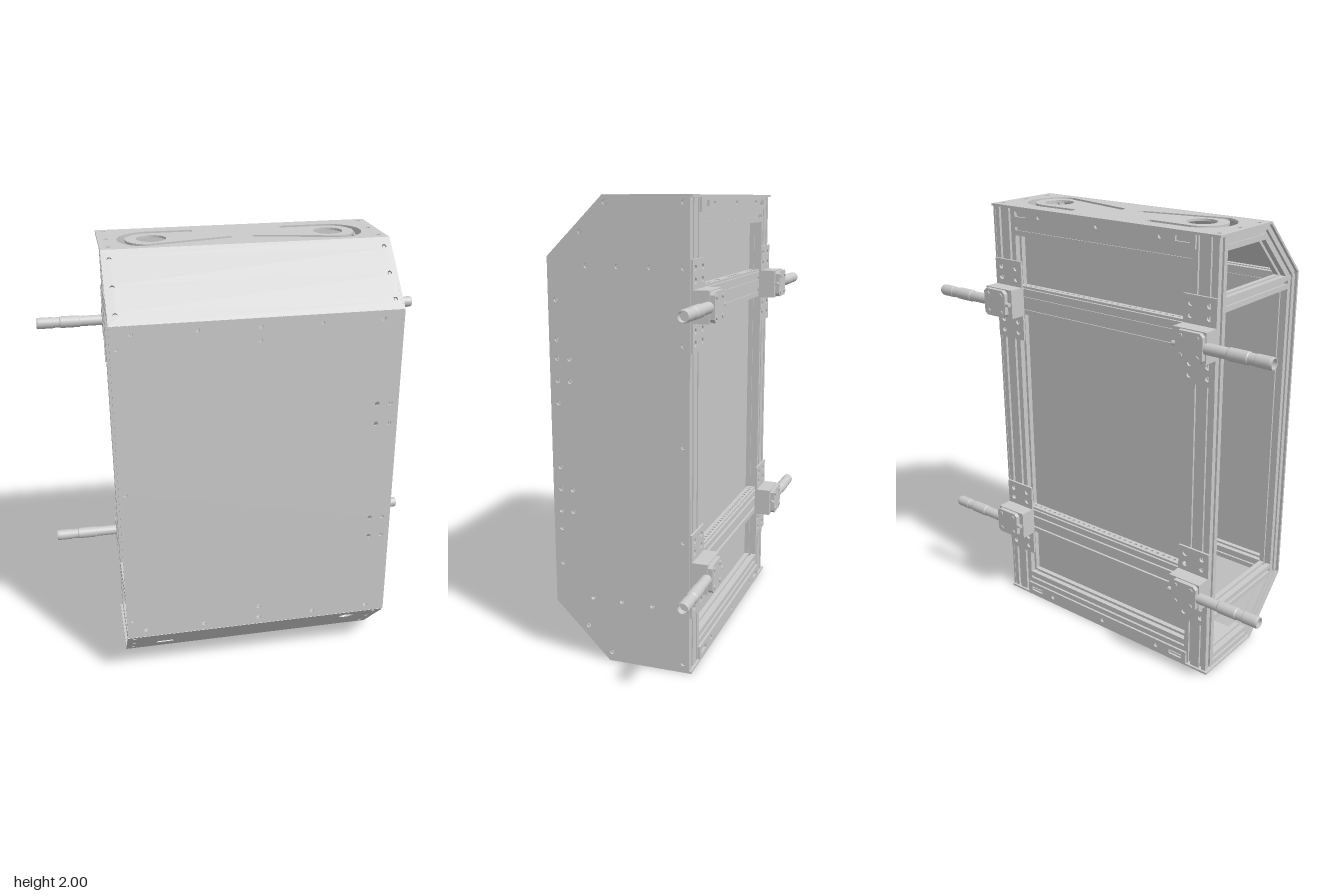
import * as THREE from 'three';

const T = 0.01;   // sheet thickness
const S = 0.06;   // frame profile size
const grey = new THREE.MeshStandardMaterial({ color: 0xcacaca });
grey.name = 'grey metal';

function add(parent, name, geometry, x = 0, y = 0, z = 0) {
  const m = new THREE.Mesh(geometry, grey);
  m.name = name;
  m.position.set(x, y, z);
  parent.add(m);
  return m;
}

const poly = (pts) => pts.map(([x, y]) => new THREE.Vector2(x, y));
const rect = (x0, y0, x1, y1) => [[x0, y0], [x1, y0], [x1, y1], [x0, y1]];
const circle = (x, y, r = 0.01) => new THREE.Path().absarc(x, y, r, 0, Math.PI * 2, true);
const circles = (pts, r) => pts.map(([x, y]) => circle(x, y, r));
const grid = (xs, ys) => xs.flatMap((x) => ys.map((y) => [x, y]));

// Sheet with cut-outs; its outer face lies on local z = 0
function sheet(outline, holes, depth = T) {
  const shape = new THREE.Shape(poly(outline));
  shape.holes.push(...holes);
  const g = new THREE.ExtrudeGeometry(shape, { depth, bevelEnabled: false, curveSegments: 16 });
  return g.translate(0, 0, -depth);
}

// Slotted frame profile of nx by 1 cells
function profile(nx) {
  const w = nx * S / 2, h = S / 2, pts = [];
  const edge = (ax, ay, dx, dy, cells) => {
    const put = (u, d) => pts.push([ax + dx * u - dy * d, ay + dy * u + dx * d]);
    put(0, 0);
    for (let i = 0; i < cells; i++) {
      const c = (i + 0.5) * S;
      [[-0.007, 0], [-0.007, 0.005], [-0.011, 0.005], [-0.011, 0.016],
        [0.011, 0.016], [0.011, 0.005], [0.007, 0.005], [0.007, 0]].forEach(([u, d]) => put(c + u, d));
    }
  };
  edge(-w, -h, 1, 0, nx);
  edge(w, -h, 0, 1, 1);
  edge(w, h, -1, 0, nx);
  edge(-w, h, 0, -1, 1);
  return new THREE.Shape(poly(pts));
}

// Frame bar between two points; wide bars have their long side along "side"
function bar(parent, name, a, b, nx = 1, side = [1, 0, 0]) {
  const A = new THREE.Vector3(...a), B = new THREE.Vector3(...b);
  const dir = B.clone().sub(A), len = dir.length();
  const g = new THREE.ExtrudeGeometry(profile(nx), { depth: len, bevelEnabled: false });
  const Z = dir.normalize(), X = new THREE.Vector3(...side);
  if (Math.abs(Z.dot(X)) > 0.9) X.set(0, 1, 0);
  const Y = Z.clone().cross(X);
  g.applyMatrix4(new THREE.Matrix4().makeBasis(X, Y, Z));
  add(parent, name, g, ...a);
}

// Hook-shaped slot: a straight, a round turn and a slanted straight, of constant width
function hookSlot(s) {
  const cx = 0.4, cy = 0.058, r = 0.12, h = 0.017, k = 0.22;
  const end = -Math.PI / 2 + k, start = Math.PI / 2;
  const side = (R) => {
    const pts = [[0.2, cy + R]];
    for (let i = 0; i <= 20; i++) {
      const a = start + (end - start) * i / 20;
      pts.push([cx + R * Math.cos(a), cy + R * Math.sin(a)]);
    }
    const [x, y] = pts[pts.length - 1];
    pts.push([x - 0.39 * Math.cos(k), y + 0.39 * Math.sin(k)]);
    return pts;
  };
  const pts = [...side(r + h), ...side(r - h).reverse()];
  return new THREE.Path(poly(pts.map(([x, y]) => [x * s, y])));
}

// Bracket with clamp and rod, pointing to +x, centred on the rod height
function mount(name) {
  const g = new THREE.Group();
  g.name = name;
  const flange = add(g, 'bracketFlange', sheet(rect(-0.08, -0.185, 0.08, 0.185),
    circles(grid([-0.045, 0.045], [-0.15, -0.1, 0.1, 0.15]), 0.012)), 0.53, 0, -0.267);
  flange.rotation.y = Math.PI;
  add(g, 'bracketHat', new THREE.BoxGeometry(0.16, 0.132, 0.073), 0.53, 0, -0.2985);
  const c = 0.014, w = 0.065, h = 0.062;
  add(g, 'rodClamp', sheet([[-w + c, -h], [w - c, -h], [w, -h + c], [w, h - c],
    [w - c, h], [-w + c, h], [-w, h - c], [-w, -h + c]], [], 0.035), 0.54, 0, -0.32);
  for (const [x, y] of grid([0.5, 0.58], [-0.04, 0.04])) {
    const bolt = add(g, 'clampBolt', new THREE.CylinderGeometry(0.01, 0.01, 0.008, 12), x, y, -0.356);
    bolt.rotation.x = Math.PI / 2;
  }
  const tip = add(g, 'clampPin', new THREE.CylinderGeometry(0.01, 0.01, 0.03, 12), 0.47, 0, -0.345);
  tip.rotation.z = Math.PI / 2;
  // stepped, hollow-ended rod
  const rod = add(g, 'rod', new THREE.LatheGeometry(poly([[0, 0.5], [0.024, 0.5], [0.024, 0.71],
    [0.027, 0.715], [0.027, 0.8], [0.024, 0.805], [0.024, 0.835], [0.026, 0.838], [0.026, 0.9],
    [0.024, 0.91], [0.02, 0.91], [0.02, 0.88], [0, 0.88]]).flatMap((p) => [p, p.clone()]), 24), 0, 0, -0.328);
  rod.rotation.z = -Math.PI / 2;
  return g;
}

export function createModel() {
  const model = new THREE.Group();
  model.name = 'equipmentEnclosure';
  const W = 0.617;

  // Front panel
  const rows = grid([-0.53, -0.26, 0, 0.26, 0.525], [1.72, 0.285]);
  const cableYs = [1.335, 1.24, 0.767, 0.67];
  add(model, 'frontPanel', sheet(rect(-W, 0.25, W, 1.755), circles([...rows,
    ...grid([-0.59], [1.66, 1, 0.345]), [0, 1.66], [0, 0.345], ...grid([0.52, 0.58], cableYs)])), 0, 0, 0.36);

  // Inner back panel, in front of the back posts
  const inner = add(model, 'innerBackPanel', sheet(rect(-0.54, 0.02, 0.54, 1.98), []), 0, 0, -0.196);
  inner.rotation.y = Math.PI;

  // Top and bottom panels
  const capHoles = () => circles(grid([-0.583, 0.583], [0.23, 0.085, -0.06]));
  const top = add(model, 'topPanel', sheet(rect(-W, -0.11, W, 0.267), [...capHoles(),
    ...circles([[-0.39, 0.06], [0.39, 0.06]], 0.064), hookSlot(1), hookSlot(-1)]), 0, 2, 0);
  top.rotation.x = -Math.PI / 2;
  const bottom = add(model, 'bottomPanel', sheet(rect(-W, -0.267, W, 0.11),
    circles(grid([-0.583, 0.583], [-0.23, -0.085, 0.06]))));
  bottom.rotation.x = Math.PI / 2;

  // Sloping panels
  const tilt = Math.atan2(0.25, 0.247), half = 0.176;
  const slopeHoles = () => circles(grid([-0.583, 0.583], [-0.125, 0, 0.13]));
  const upper = add(model, 'upperSlope', sheet(rect(-W, -half, W, half), slopeHoles()), 0, 1.8775, 0.235);
  upper.rotation.x = -tilt;
  const port = new THREE.Path(poly(rect(-0.47, -0.068, -0.39, -0.032)));
  const lower = add(model, 'lowerSlope', sheet(rect(-W, -half, W, half),
    [...slopeHoles(), port, circle(0.46, 0.075, 0.037)]), 0, 0.125, 0.235);
  lower.rotation.x = tilt;

  // Left side panel (the other side is open); local x is -z
  const left = add(model, 'sidePanel', sheet([[-0.11, 0], [0.257, 0], [0.257, 2], [-0.11, 2],
    [-0.36, 1.755], [-0.36, 0.25]], circles([
    ...grid([-0.325], [1.58, 1.415, 1.145, 0.865, 0.59, 0.43, ...cableYs]), ...grid([-0.27], cableYs),
    ...grid([0.23], [1.97, 1.415, 1, 0.59, 0.04]), ...grid([-0.1], [1.97, 0.04]),
    ...grid([-0.21], [1.855, 0.15]), ...grid([-0.185, -0.05, 0.09, 0.23], [1.72, 0.285])])), W, 0, 0);
  left.rotation.y = Math.PI / 2;

  // Folded lips at the back
  for (const y of [1.965, 0.035]) {
    const slots = [-0.44, 0.44].map((x) => new THREE.Path(poly(rect(x - 0.035, -0.01, x + 0.035, 0.012))));
    const lip = add(model, 'backLip', sheet(rect(-0.5, -0.033, 0.5, 0.033),
      [...slots, ...circles([[-0.33, 0], [0, 0], [0.33, 0]])]), 0, y, -0.267);
    lip.rotation.y = Math.PI;
  }

  // Side frames
  for (const s of [-1, 1]) {
    const x = s * 0.575;
    bar(model, 'backPost', [s * 0.545, T, -0.227], [s * 0.545, 2 - T, -0.227], 2);
    bar(model, 'frontPost', [x, 0.26, 0.32], [x, 1.74, 0.32]);
    for (const f of [(y) => y, (y) => 2 - y]) {
      bar(model, 'endRail', [x, f(0.04), -0.197], [x, f(0.04), 0.09]);
      bar(model, 'sideRail', [x, f(0.285), -0.197], [x, f(0.285), 0.29]);
      bar(model, 'slopeRail', [x, f(0.032), 0.085], [x, f(0.268), 0.325]);
    }
  }

  // Cross bars
  for (const y of [0.285, 1.72]) bar(model, 'frontCrossBar', [-0.545, y, 0.32], [0.545, y, 0.32]);
  for (const y of [0.07, 1.93]) bar(model, 'backCrossBar', [-0.485, y, -0.227], [0.485, y, -0.227], 2);
  for (const y of [0.437, 1.57]) {
    bar(model, 'mountCrossBar', [-0.485, y, -0.227], [0.485, y, -0.227], 2);
    // perforated strip on top of the bar
    const dots = Array.from({ length: 30 }, (_, i) => [-0.464 + i * 0.032, 0]);
    const strip = add(model, 'perforatedStrip', sheet(rect(-0.485, -0.02, 0.485, 0.02),
      circles(dots, 0.008)), 0, y + 0.07, -0.227);
    strip.rotation.x = -Math.PI / 2;

    // Rod mounts on both posts
    const a = mount('leftRodMount'), b = mount('rightRodMount');
    a.position.y = b.position.y = y;
    b.rotation.z = Math.PI;
    model.add(a, b);
  }
  return model;
}
